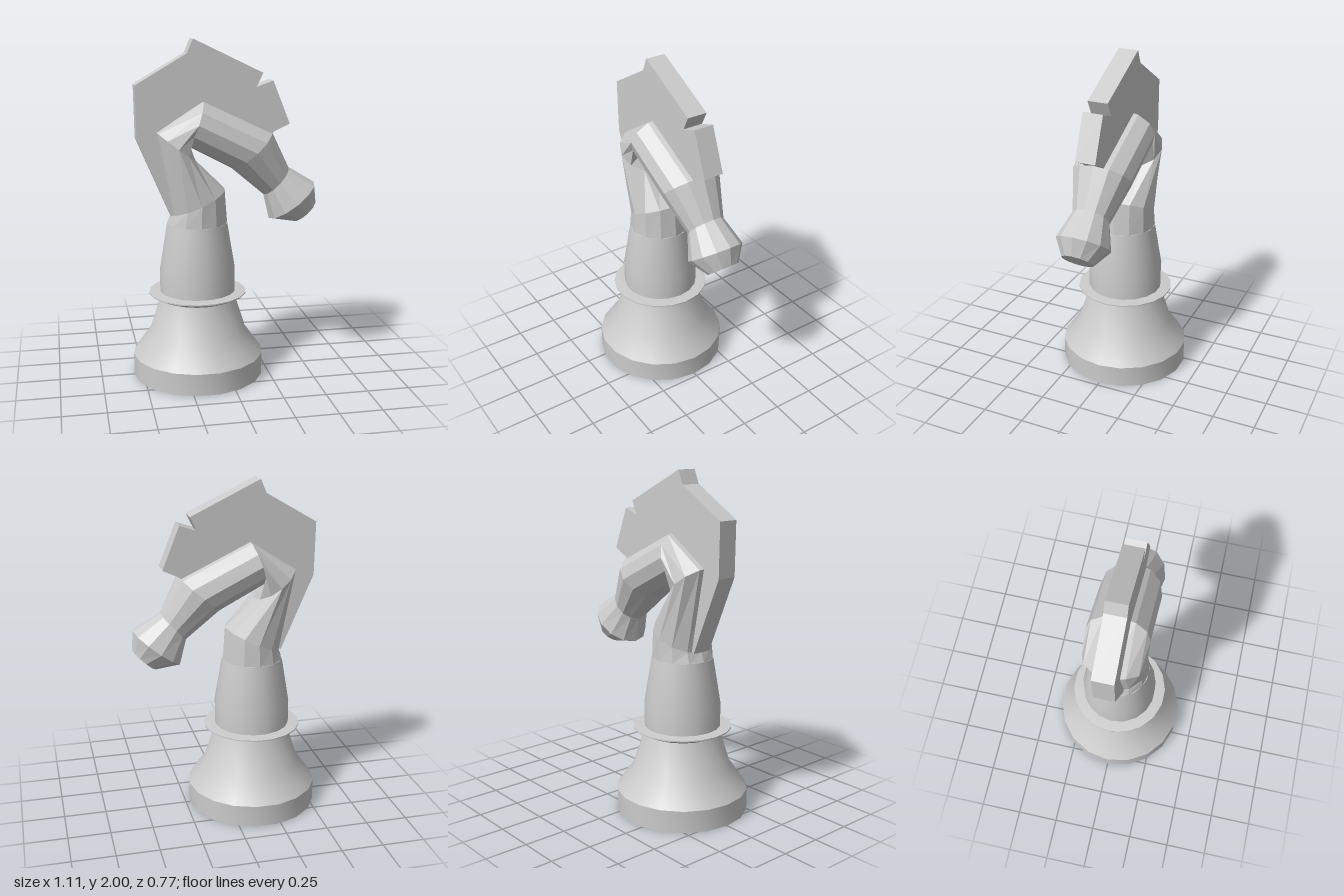
import * as THREE from 'three';
import { toCreasedNormals } from 'three/addons/utils/BufferGeometryUtils.js';

const AXIS_X = -0.165;

// Skin through oval rings, each [outerX, outerY, innerX, innerY, half depth], with closed ends
function loft(rings, sides) {
  const pos = [], index = [];
  for (const [ox, oy, ix, iy, depth] of rings) {
    const cx = (ox + ix) / 2, cy = (oy + iy) / 2;
    for (let j = 0; j < sides; j++) {
      const a = (j / sides) * Math.PI * 2, c = Math.cos(a);
      pos.push(cx + c * (ox - cx), cy + c * (oy - cy), depth * Math.sin(a));
    }
  }
  for (let i = 0; i < rings.length - 1; i++) {
    for (let j = 0; j < sides; j++) {
      const k = (j + 1) % sides;
      const a = i * sides + j, b = i * sides + k;
      index.push(a, b, b + sides, a, b + sides, a + sides);
    }
  }
  const last = (rings.length - 1) * sides;
  for (let j = 1; j < sides - 1; j++) {
    index.push(0, j + 1, j, last, last + j, last + j + 1);
  }
  const geo = new THREE.BufferGeometry();
  geo.setAttribute('position', new THREE.Float32BufferAttribute(pos, 3));
  geo.setIndex(index);
  geo.computeVertexNormals();
  return geo;
}

// 18-sided turned part with a vertex on the x axis
function turned(profile) {
  const geo = new THREE.LatheGeometry(profile.map(([r, y]) => new THREE.Vector2(r, y)), 18);
  geo.rotateY(Math.PI / 18);
  geo.translate(AXIS_X, 0, 0);
  return toCreasedNormals(geo, 0.45);
}

export function createModel() {
  const group = new THREE.Group();
  const smooth = new THREE.MeshStandardMaterial({ color: 0xcccccc });
  const flat = new THREE.MeshStandardMaterial({ color: 0xcccccc, flatShading: true });
  const add = (name, geo, mat) => {
    const mesh = new THREE.Mesh(geo, mat);
    mesh.name = name;
    group.add(mesh);
  };

  // Turned foot, collar and lower neck
  add('base', turned([[0, 0], [0.39, 0], [0.39, 0.13], [0.29, 0.27], [0.22, 0.49], [0, 0.49]]), smooth);
  add('collar', turned([[0, 0.475], [0.225, 0.475], [0.29, 0.505], [0.29, 0.512], [0.225, 0.517], [0, 0.517]]), smooth);
  add('neck', turned([[0.225, 0.5], [0.225, 0.66], [0.18, 0.93], [0, 0.93]]), smooth);

  // Bent upper neck and head, tapering to the muzzle
  add('head', loft([
    [-0.345, 0.93, 0.015, 0.93, 0.18],
    [-0.325, 0.985, 0, 1.13, 0.177],
    [-0.413, 1.485, -0.17, 1.3, 0.177],
    [-0.13, 1.66, -0.225, 1.39, 0.177],
    [0.28, 1.465, 0.04, 1.25, 0.177],
    [0.385, 1.245, 0.235, 1.085, 0.11],
  ], 12), flat);

  // Bulbous nose with a flat end
  add('muzzle', loft([
    [0.385, 1.245, 0.235, 1.085, 0.11],
    [0.545, 1.148, 0.27, 0.937, 0.157],
    [0.555, 1.037, 0.418, 0.912, 0.093],
  ], 12), flat);

  // Flat crest plate with a notch at the brow
  const outline = [
    [-0.325, 0.985], [-0.22, 1.06], [-0.28, 1.4], [-0.12, 1.5], [0.2, 1.38], [0.28, 1.465],
    [0.375, 1.51], [0.275, 1.76], [0.175, 1.725], [0.215, 1.805], [-0.19, 2],
    [-0.225, 1.92], [-0.522, 1.745], [-0.517, 1.435],
  ];
  const shape = new THREE.Shape(outline.map(([x, y]) => new THREE.Vector2(x, y)));
  const crest = new THREE.ExtrudeGeometry(shape, { depth: 0.12, bevelEnabled: false });
  crest.translate(0, 0, -0.06);
  add('mane', crest, flat);

  return group;
}
